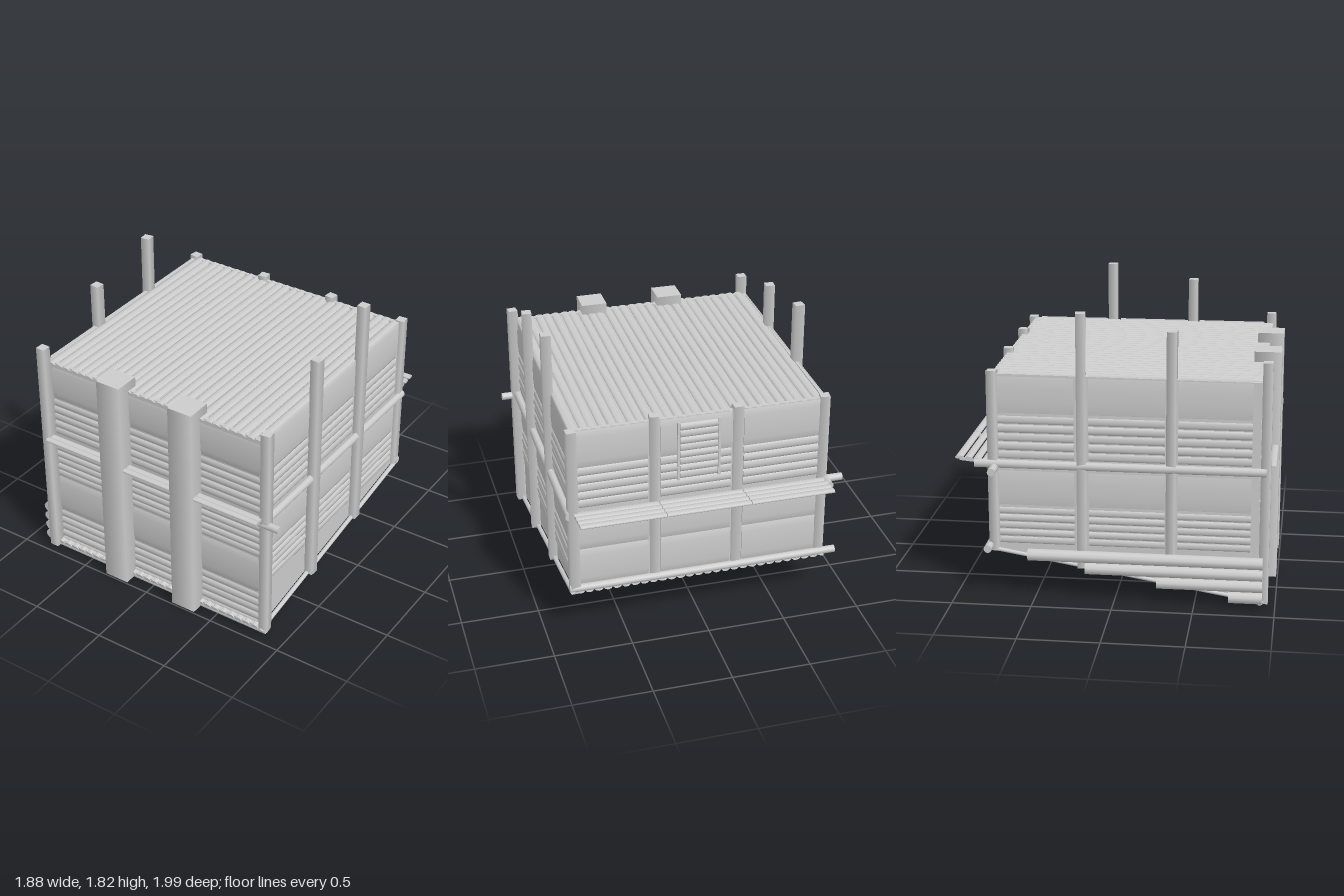
import * as THREE from 'three';

const material = new THREE.MeshStandardMaterial({ color: 0xcccccc });
const round = new THREE.CylinderGeometry(0.5, 0.5, 1, 10);
const square = new THREE.CylinderGeometry(Math.SQRT1_2, Math.SQRT1_2, 1, 4).rotateY(Math.PI / 4);
const roundX = round.clone().rotateZ(Math.PI / 2);
const roundZ = round.clone().rotateX(Math.PI / 2);
const box = new THREE.BoxGeometry(1, 1, 1);

// height of the sloping floor at depth z
const floorY = (z) => 0.03 + (0.92 - z) * 0.168;

export function createModel() {
  const model = new THREE.Group();

  function add(name, geometry, x, y, z, sx, sy, sz) {
    const mesh = new THREE.Mesh(geometry, material);
    mesh.name = name;
    mesh.position.set(x, y, z);
    mesh.scale.set(sx, sy, sz);
    model.add(mesh);
    return mesh;
  }
  // upright post between two heights
  function post(name, x, z, y0, y1, width, turn = 0) {
    add(name, square, x, (y0 + y1) / 2, z, width, y1 - y0, width).rotation.y = turn;
  }
  // stack of bulging boards along x or z, from y0 to y1
  function boards(name, axis, plane, a, b, y0, y1, count, bulge) {
    const h = (y1 - y0) / count;
    for (let i = 0; i < count; i++) {
      const y = y0 + h * (i + 0.5);
      const lift = bulge + (i % 2) * 0.004;
      if (axis === 'x') add(name, roundX, (a + b) / 2, y, plane, b - a, h * 1.05, lift * 2);
      else add(name, roundZ, plane, y, (a + b) / 2, lift * 2, h * 1.05, b - a);
    }
  }

  // side wall panels, cut along the sloping floor
  const outline = new THREE.Shape();
  outline.moveTo(-0.89, floorY(0.89));
  outline.lineTo(0.75, floorY(-0.75));
  outline.lineTo(0.75, 1.44);
  outline.lineTo(-0.89, 1.43);
  const wall = new THREE.ExtrudeGeometry(outline, { depth: 0.025, bevelEnabled: false }).rotateY(Math.PI / 2);
  add('rightWall', wall, 0.785, 0, 0, 1, 1, 1);
  add('leftWall', wall, -0.815, 0, 0, 1, 1, 1);

  // front and back wall panels
  add('frontWall', box, 0.02, 0.73, 0.875, 1.6, 1.42, 0.025);
  add('backWall', box, 0, 0.88, -0.745, 1.6, 1.12, 0.025);

  // boards on the front, one set for each bay
  for (const [a, b] of [[-0.76, -0.3], [-0.19, 0.23], [0.34, 0.8]]) {
    boards('frontBoard', 'x', 0.88, a, b, 1.17, 1.44, 1, 0.02);
    boards('frontSlat', 'x', 0.88, a, b, 0.9, 1.17, 5, 0.016);
    boards('frontSlat', 'x', 0.88, a, b, 0.57, 0.82, 5, 0.016);
    boards('frontBoard', 'x', 0.88, a, b, 0.29, 0.57, 1, 0.02);
    boards('frontSlat', 'x', 0.88, a, b, 0.02, 0.29, 5, 0.016);
  }

  // boards on both sides, between the posts
  for (const side of [-1, 1]) {
    for (const [a, b] of [[0.39, 0.84], [-0.16, 0.31], [-0.72, -0.25]]) {
      const x = side * 0.808;
      boards('sideBoard', 'z', x, a, b, 1.18, 1.44, 1, 0.014);
      boards('sideSlat', 'z', x, a, b, 0.9, 1.18, 5, 0.013);
      boards('sideBoard', 'z', x, a, b, 0.59, 0.84, 1, 0.014);
      boards('sideSlat', 'z', x, a, b, 0.35, 0.59, 5, 0.013);
    }
  }

  // bulging low boards on the left wall, stopping at the floor
  for (let i = 0; i < 4; i++) {
    const y = 0.065 + i * 0.075;
    const back = Math.max(-0.54, 0.92 - (y - 0.03) / 0.168);
    add('leftLowBoard', roundZ, -0.845, y, (0.92 + back) / 2, 0.085, 0.075, 0.92 - back);
  }

  // boards on the back and its hatch
  for (const [a, b] of [[-0.77, -0.28], [-0.2, 0.25], [0.33, 0.78]]) {
    boards('backBoard', 'x', -0.755, a, b, 1.18, 1.44, 1, 0.014);
    boards('backSlat', 'x', -0.755, a, b, 0.9, 1.18, 5, 0.013);
    boards('backBoard', 'x', -0.755, a, b, 0.6, 0.85, 1, 0.014);
    boards('backBoard', 'x', -0.755, a, b, 0.34, 0.6, 1, 0.014);
  }
  boards('hatchSlat', 'x', -0.767, -0.11, 0.13, 1.02, 1.4, 8, 0.012);
  for (const x of [-0.12, 0.14]) add('hatchFrame', box, x, 1.21, -0.77, 0.015, 0.4, 0.02);

  // roof and sloping floor, planked from front to back
  const planks = 27;
  const w = 1.6 / planks;
  const slope = Math.atan(0.168);
  add('roofDeck', box, 0.01, 1.42, 0.07, 1.6, 0.02, 1.65);
  add('floorDeck', box, 0, floorY(0.06) + 0.01, 0.06, 1.61, 0.02, 1.74).rotation.x = slope;
  for (let i = 0; i < planks; i++) {
    const x = -0.79 + w * (i + 0.5);
    add('roofPlank', roundZ, x, 1.43, 0.07, w, 0.026, 1.66).rotation.y = 0.006 * Math.sin(i * 2.3);
    add('floorPlank', roundZ, x, floorY(0.06) + 0.004, 0.06, w, 0.04, 1.75).rotation.x = slope;
  }

  // wide front columns
  for (const x of [-0.245, 0.285]) post('frontColumn', x, 0.907, 0.01, 1.505, 0.17);

  // posts: x, z, top
  const posts = [
    [-0.795, 0.925, 1.555], [0.84, 0.89, 1.505],
    [-0.805, 0.35, 1.73], [0.84, 0.345, 1.73],
    [-0.81, -0.205, 1.83], [0.83, -0.215, 1.83],
    [-0.8, -0.755, 1.46], [0.81, -0.775, 1.45],
    [-0.24, -0.755, 1.47], [0.29, -0.755, 1.475],
  ];
  posts.forEach(([x, z, top], i) => {
    post('post', x, z, Math.max(0.01, floorY(z) - 0.01), top, 0.06, 0.12 * Math.sin(i * 1.9));
  });

  // beams around the middle
  add('frontBeam', roundX, 0.07, 0.85, 0.9, 1.74, 0.05, 0.05);
  add('backBeam', roundX, -0.05, 0.85, -0.745, 1.79, 0.05, 0.05);
  add('rightBeam', roundZ, 0.835, 0.87, 0.06, 0.05, 0.055, 1.72);
  add('leftBeam', roundZ, -0.82, 0.87, 0.03, 0.05, 0.055, 1.8);

  // beams around the bottom
  add('backSill', roundX, -0.03, 0.335, -0.785, 1.75, 0.05, 0.05);
  add('frontSill', roundX, 0.02, 0.025, 0.905, 1.68, 0.04, 0.04);
  for (const x of [-0.815, 0.83]) {
    add('sideSill', roundZ, x, floorY(0.06), 0.06, 0.03, 0.025, 1.76).rotation.x = slope;
  }

  // ledge across the front
  for (const z of [0.925, 0.965]) add('frontLedge', roundX, 0.025, 0.893, z, 1.6, 0.022, 0.045);

  // shelf across the back, in three lengths
  for (let bay = 0; bay < 3; bay++) {
    for (let i = 0; i < 4; i++) {
      add('backShelfPlank', roundX, -0.54 + bay * 0.54, 0.88 + i * 0.006, -0.805 - i * 0.055, 0.536, 0.022, 0.052);
    }
  }
  for (const x of [-0.79, -0.27, 0.27, 0.78]) {
    add('shelfBearer', box, x, 0.875, -0.87, 0.02, 0.015, 0.2).rotation.x = 0.1;
  }

  return model;
}
